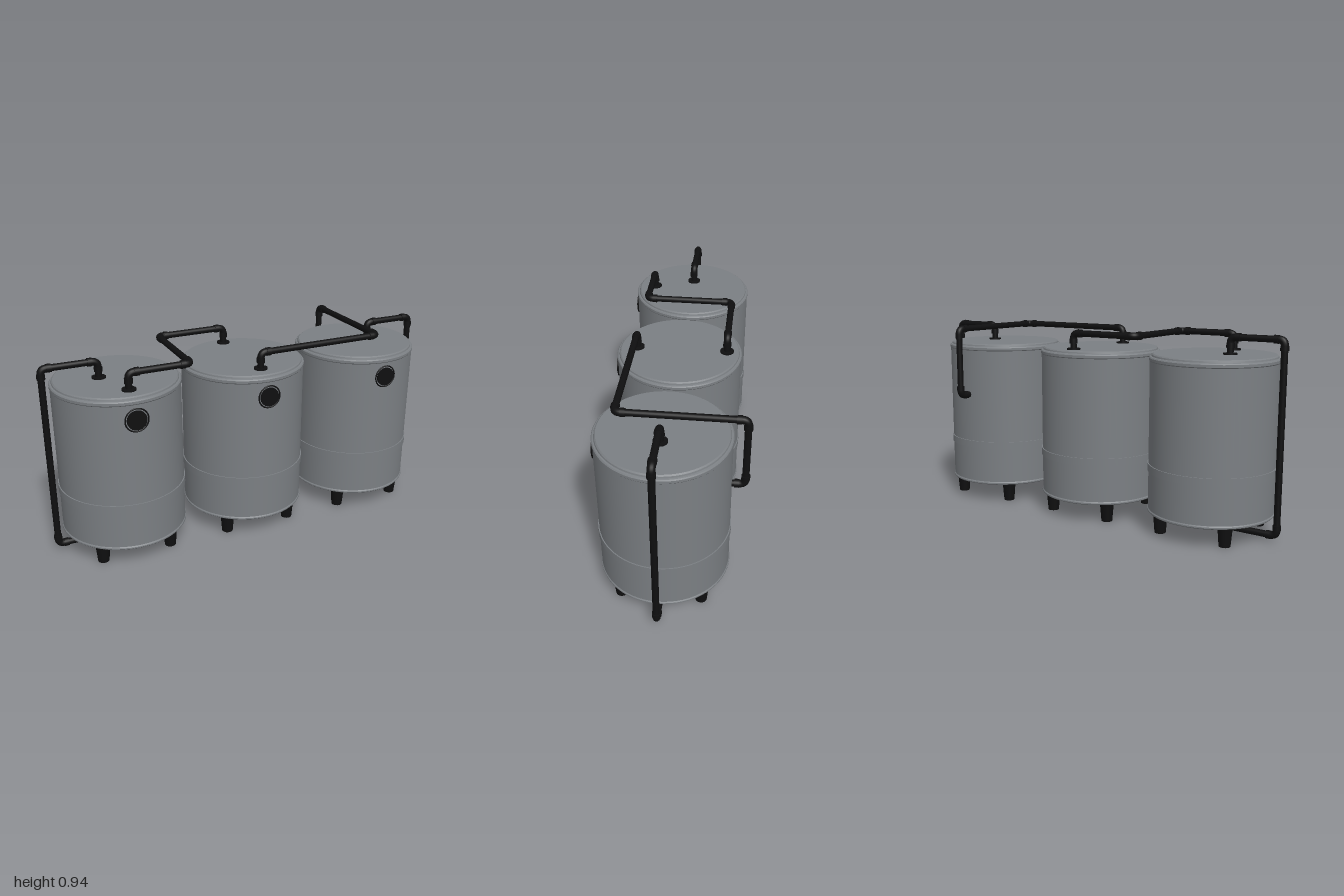
import * as THREE from 'three';

const steel = new THREE.MeshStandardMaterial({ name: 'tank grey', color: 0x7b7f83 });
const black = new THREE.MeshStandardMaterial({ name: 'pipe black', color: 0x0f0f10 });

const V = (x, y, z) => new THREE.Vector3(x, y, z);
const UP = V(0, 1, 0);
const PIPE_R = 0.0155, COLLAR_R = 0.0195, BEND = 0.029, COLLAR_AT = 0.038;
const TANK_Z = 0.035, TANK_X = 0.643;

function add(parent, name, geometry, material) {
  const mesh = new THREE.Mesh(geometry, material);
  mesh.name = name;
  parent.add(mesh);
  return mesh;
}

// Capped cylinder between two points
function rod(parent, name, a, b, r) {
  const dir = b.clone().sub(a);
  const mesh = add(parent, name, new THREE.CylinderGeometry(r, r, dir.length(), 20), black);
  mesh.position.copy(a).add(b).multiplyScalar(0.5);
  mesh.quaternion.setFromUnitVectors(UP, dir.normalize());
}

// Lathe with hard edges: each profile segment keeps its own normals
function hardLathe(parent, name, profile) {
  for (let i = 0; i < profile.length - 1; i++) {
    const pts = [profile[i], profile[i + 1]].map(([r, y]) => new THREE.Vector2(r, y));
    add(parent, name, new THREE.LatheGeometry(pts, 64), steel);
  }
}

function createTank(x) {
  const tank = new THREE.Group();
  tank.name = 'tank';
  tank.position.set(x, 0, TANK_Z);

  // Shell with bottom rim, reinforcing band and stepped lid
  hardLathe(tank, 'shell', [
    [0, 0.096], [0.3, 0.096], [0.304, 0.1], [0.304, 0.106], [0.3, 0.111],
    [0.3, 0.293], [0.305, 0.293], [0.305, 0.329], [0.3, 0.329],
    [0.3, 0.812], [0.303, 0.816], [0.303, 0.828], [0.299, 0.833],
    [0.292, 0.835], [0.29, 0.842], [0.284, 0.847], [0, 0.847],
  ]);

  // Four tapered feet
  for (const sx of [-1, 1]) for (const sz of [-1, 1]) {
    const foot = add(tank, 'foot', new THREE.CylinderGeometry(0.035, 0.027, 0.096, 20), black);
    foot.position.set(sx * 0.168, 0.05, sz * 0.186);
  }

  // Round gauge with a thin outer ring
  const disc = add(tank, 'gaugeDisc', new THREE.CylinderGeometry(0.046, 0.046, 0.009, 32), black);
  disc.rotation.x = Math.PI / 2;
  disc.position.set(0, 0.74, 0.302);
  const ring = add(tank, 'gaugeRing', new THREE.TorusGeometry(0.054, 0.0035, 8, 40), black);
  ring.position.set(0, 0.74, 0.3);
  return tank;
}

// Pipe run through corner points, with elbows, collars and end flanges
function createPipe(name, points, flanges) {
  const pipe = new THREE.Group();
  pipe.name = name;
  const last = points.length - 1;
  const toward = (a, b, d) => a.clone().add(b.clone().sub(a).setLength(d));

  for (let i = 0; i < last; i++) {
    const a = points[i], b = points[i + 1];
    rod(pipe, 'straightPipe',
      i === 0 ? a : toward(a, b, BEND),
      i + 1 === last ? b : toward(b, a, BEND), PIPE_R);
  }
  for (let i = 1; i < last; i++) {
    const p = points[i];
    const ends = [points[i - 1], points[i + 1]];
    const bend = new THREE.QuadraticBezierCurve3(
      toward(p, ends[0], BEND), p.clone(), toward(p, ends[1], BEND));
    add(pipe, 'elbow', new THREE.TubeGeometry(bend, 12, 0.0175, 16), black);
    for (const e of ends) {
      rod(pipe, 'collar', toward(p, e, COLLAR_AT - 0.011), toward(p, e, COLLAR_AT + 0.011), COLLAR_R);
    }
  }
  if (flanges[0]) rod(pipe, 'flange', points[0], toward(points[0], points[1], 0.008), 0.033);
  if (flanges[1]) rod(pipe, 'flange', points[last], toward(points[last], points[last - 1], 0.008), 0.033);
  return pipe;
}

export function createModel() {
  const model = new THREE.Group();
  model.name = 'linkedTanks';

  for (const x of [-TANK_X, 0, TANK_X]) model.add(createTank(x));

  const lid = 0.846, high = 0.927, low = 0.031, front = 0.24, back = -0.195;

  // Mirrored outer pipes from lid to underside
  for (const s of [-1, 1]) {
    model.add(createPipe('sidePipe', [
      V(s * 0.721, lid, TANK_Z), V(s * 0.721, high, TANK_Z), V(s * 0.98, high, TANK_Z),
      V(s * 0.98, low, TANK_Z), V(s * TANK_X, low, TANK_Z), V(s * TANK_X, 0.097, TANK_Z),
    ], [true, true]));
  }

  // Link from right tank to the back of the middle tank
  model.add(createPipe('rightLinkPipe', [
    V(-TANK_X, lid, front), V(-TANK_X, high, front), V(-0.35, high, front),
    V(-0.35, high, back), V(0, high, back), V(0, lid, back),
  ], [true, true]));

  // Link from middle tank over the left tank and into its rear wall
  model.add(createPipe('leftLinkPipe', [
    V(0, lid, front), V(0, high, front), V(TANK_X, high, front),
    V(TANK_X, high, -0.324), V(TANK_X, 0.579, -0.324), V(TANK_X, 0.579, -0.26),
  ], [true, false]));

  return model;
}
